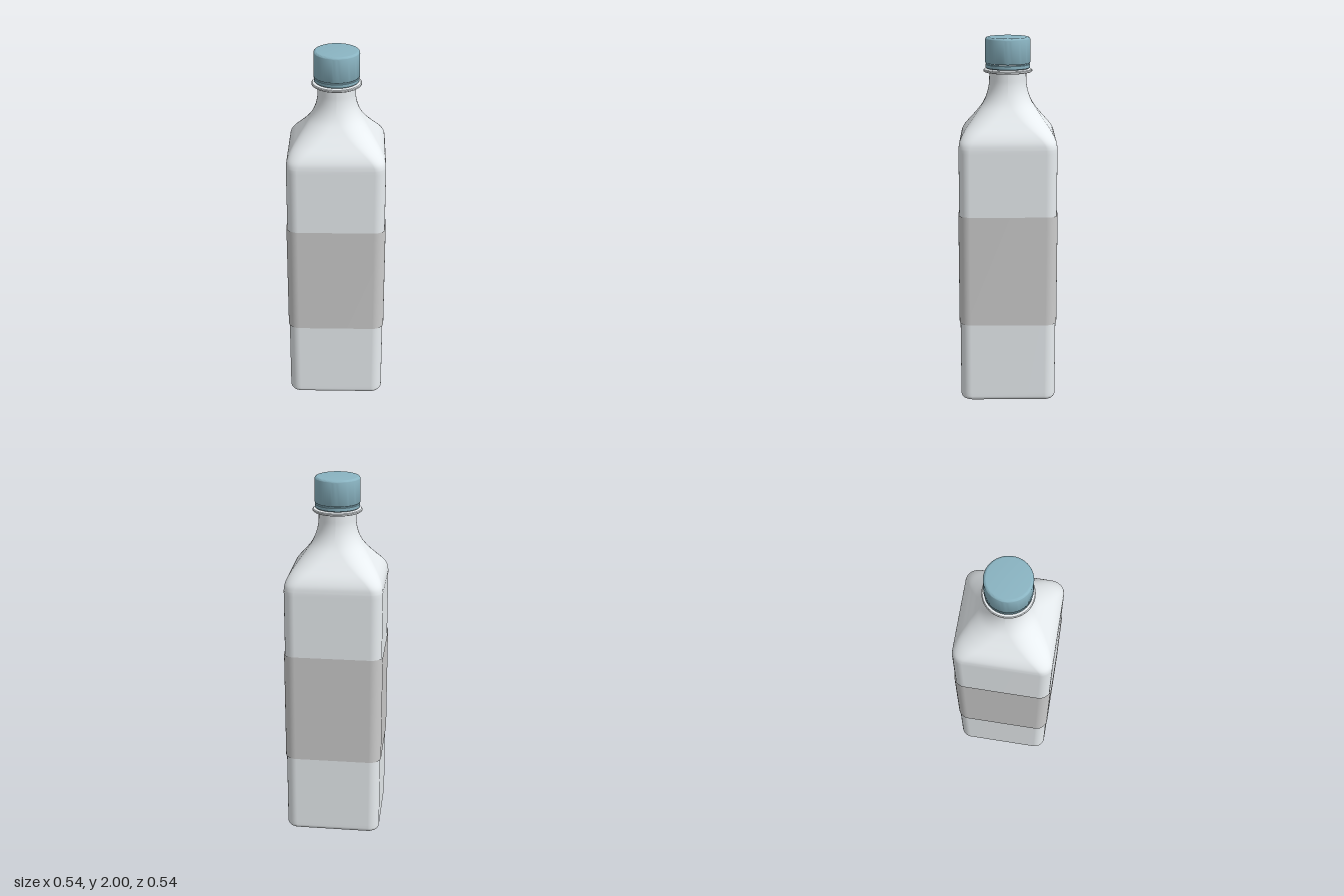
import * as THREE from 'three';
import { toCreasedNormals } from 'three/addons/utils/BufferGeometryUtils.js';

const material = (color) => new THREE.MeshStandardMaterial({ color, side: THREE.DoubleSide });

// Rounded-square outline, counter-clockwise seen from above
function roundedSquare(half, radius, steps = 10) {
  const points = [];
  for (let corner = 0; corner < 4; corner++) {
    const mid = Math.PI / 4 + corner * Math.PI / 2;
    const cx = Math.sign(Math.cos(mid)) * (half - radius);
    const cz = Math.sign(Math.sin(mid)) * (half - radius);
    for (let i = 0; i <= steps; i++) {
      const a = (corner + i / steps) * Math.PI / 2;
      points.push([cx + radius * Math.cos(a), -(cz + radius * Math.sin(a))]);
    }
  }
  return points;
}

// Skin through rows of [y, half width, corner radius], bottom to top
function loft(rows, closeBottom) {
  const positions = [], index = [];
  let n = 0;
  for (const [y, half, radius] of rows) {
    const ring = roundedSquare(half, radius);
    n = ring.length;
    for (const [x, z] of ring) positions.push(x, y, z);
  }
  for (let i = 0; i < rows.length - 1; i++) {
    for (let j = 0; j < n; j++) {
      const a = i * n + j, b = i * n + (j + 1) % n;
      index.push(a, b, b + n, a, b + n, a + n);
    }
  }
  if (closeBottom) {
    const centre = positions.length / 3;
    positions.push(0, rows[0][0], 0);
    for (let j = 0; j < n; j++) index.push(centre, (j + 1) % n, j);
  }
  const geometry = new THREE.BufferGeometry();
  geometry.setAttribute('position', new THREE.Float32BufferAttribute(positions, 3));
  geometry.setIndex(index);
  geometry.computeVertexNormals();
  return geometry;
}

// Turned part from [radius, y] pairs
function turned(profile) {
  const points = profile.map(([r, y]) => new THREE.Vector2(r, y));
  return toCreasedNormals(new THREE.LatheGeometry(points, 64), 0.6);
}

export function createModel() {
  const group = new THREE.Group();
  const add = (name, geometry, color) => {
    const mesh = new THREE.Mesh(geometry, material(color));
    mesh.name = name;
    group.add(mesh);
  };

  // Body: rounded foot, straight sides, shoulder easing from square to round neck
  const rows = [];
  for (let i = 0; i <= 6; i++) {
    const a = i / 6 * Math.PI / 2;
    const inset = 0.028 * (1 - Math.sin(a));
    rows.push([0.028 * (1 - Math.cos(a)), 0.263 - inset, 0.06 - inset * 0.6]);
  }
  rows.push([0.05, 0.263, 0.06], [1.41, 0.263, 0.06]);
  const shoulder = new THREE.CatmullRomCurve3([
    [0.263, 1.43], [0.258, 1.465], [0.24, 1.503], [0.204, 1.552], [0.166, 1.602],
    [0.134, 1.65], [0.113, 1.7], [0.102, 1.75], [0.1, 1.79], [0.1, 1.85],
  ].map(([half, y]) => new THREE.Vector3(half, y, 0)));
  for (let i = 0; i <= 40; i++) {
    const p = shoulder.getPoint(i / 40);
    const t = THREE.MathUtils.smoothstep(p.y, 1.43, 1.74);
    rows.push([p.y, p.x, THREE.MathUtils.lerp(0.06, p.x, t)]);
  }
  add('body', loft(rows, true), 0xe8edf0);

  // Label sleeve wrapped around the body
  add('label', loft([[0.455, 0.268, 0.064], [1.07, 0.268, 0.064]], false), 0xc4c4c4);

  // Support ring under the cap
  add('neckRing', turned([
    [0.098, 1.81], [0.128, 1.815], [0.132, 1.818], [0.132, 1.825], [0.128, 1.829], [0.098, 1.832],
  ]), 0xe8edf0);

  // Tamper band, separated from the cap by a narrow groove
  add('tamperBand', turned([
    [0.1, 1.834], [0.115, 1.834], [0.119, 1.838], [0.12, 1.855], [0.117, 1.859], [0.1, 1.859],
  ]), 0x8ab4c2);

  // Screw cap with a rounded top edge
  const cap = [[0.1, 1.863], [0.12, 1.863], [0.122, 1.867], [0.121, 1.986]];
  for (let i = 1; i <= 6; i++) {
    const a = i / 6 * Math.PI / 2;
    cap.push([0.107 + 0.014 * Math.cos(a), 1.986 + 0.014 * Math.sin(a)]);
  }
  cap.push([0, 2]);
  add('cap', turned(cap), 0x8ab4c2);

  return group;
}
